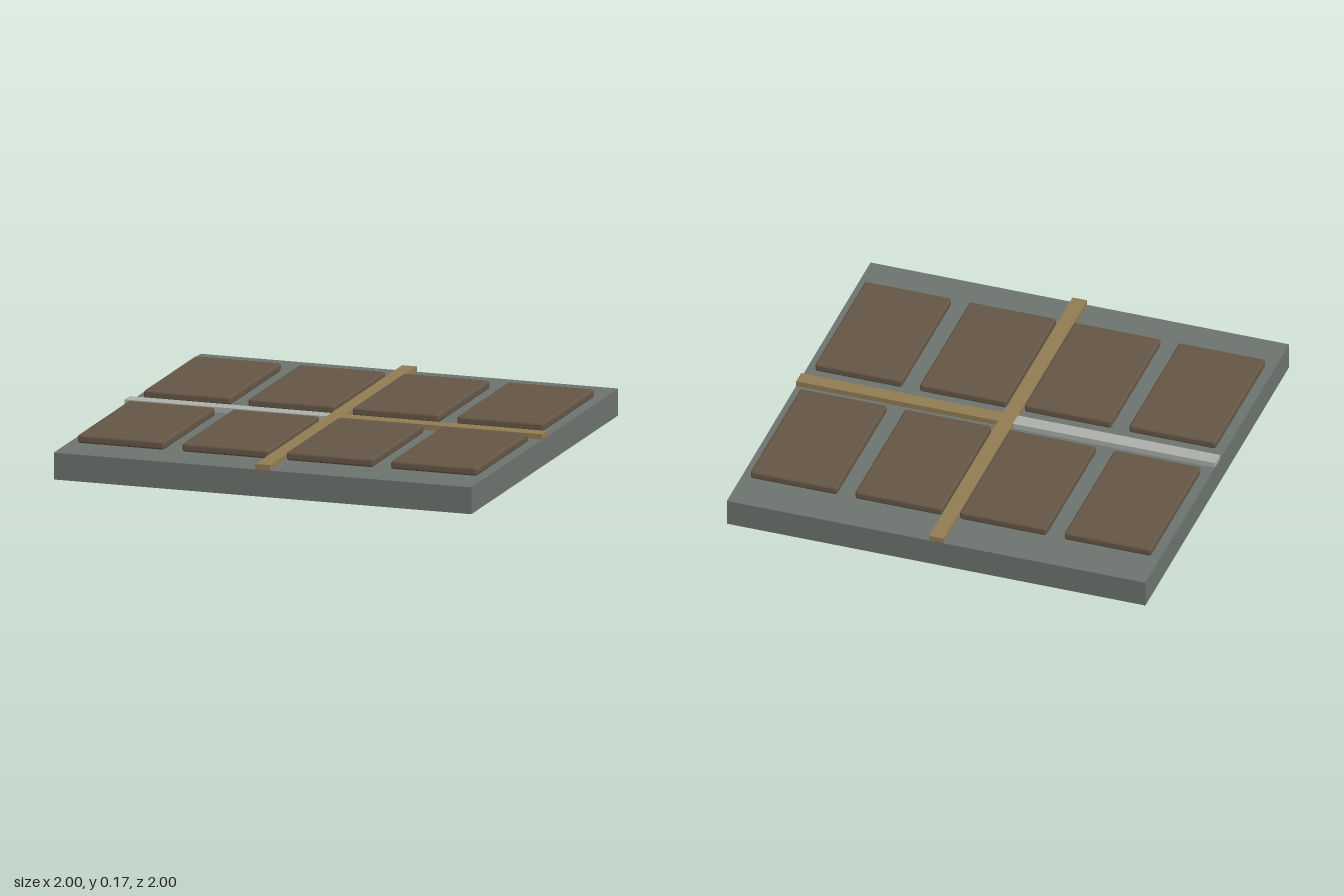
import * as THREE from 'three';
import { RoundedBoxGeometry } from 'three/addons/geometries/RoundedBoxGeometry.js';

const BASE_TOP = 0.125;
const STRIP_W = 0.07;
const STRIP_H = 0.025;

const paint = (color) => new THREE.MeshStandardMaterial({ color });

export function createModel() {
  const model = new THREE.Group();
  model.name = 'panelledTile';

  const stone = paint(0x6c736e);
  const brass = paint(0x907c52);
  const silver = paint(0xacaea9);
  const wood = paint(0x655645);

  const add = (name, geometry, material, x, y, z) => {
    const mesh = new THREE.Mesh(geometry, material);
    mesh.name = name;
    mesh.position.set(x, y, z);
    model.add(mesh);
  };

  // Square base slab
  add('baseSlab', new THREE.BoxGeometry(2, BASE_TOP, 2), stone, 0, BASE_TOP / 2, 0);

  // Raised strips: one full length, two half-length arms meeting it
  const stripY = BASE_TOP + STRIP_H / 2;
  const armLength = 1 - STRIP_W / 2;
  const armX = (1 + STRIP_W / 2) / 2;
  add('longStrip', new THREE.BoxGeometry(STRIP_W, STRIP_H, 2), brass, 0, stripY, 0);
  add('leftStrip', new THREE.BoxGeometry(armLength, STRIP_H, STRIP_W), brass, armX, stripY, 0);
  add('rightStrip', new THREE.BoxGeometry(armLength, STRIP_H, STRIP_W), silver, -armX, stripY, 0);

  // Two rows of four panels with softened edges
  const panel = new RoundedBoxGeometry(0.415, 0.04, 0.7, 2, 0.012);
  for (const z of [-0.45, 0.45]) {
    for (const x of [-0.75, -0.25, 0.25, 0.75]) {
      add('panel', panel, wood, x, BASE_TOP + 0.021, z);
    }
  }

  return model;
}
